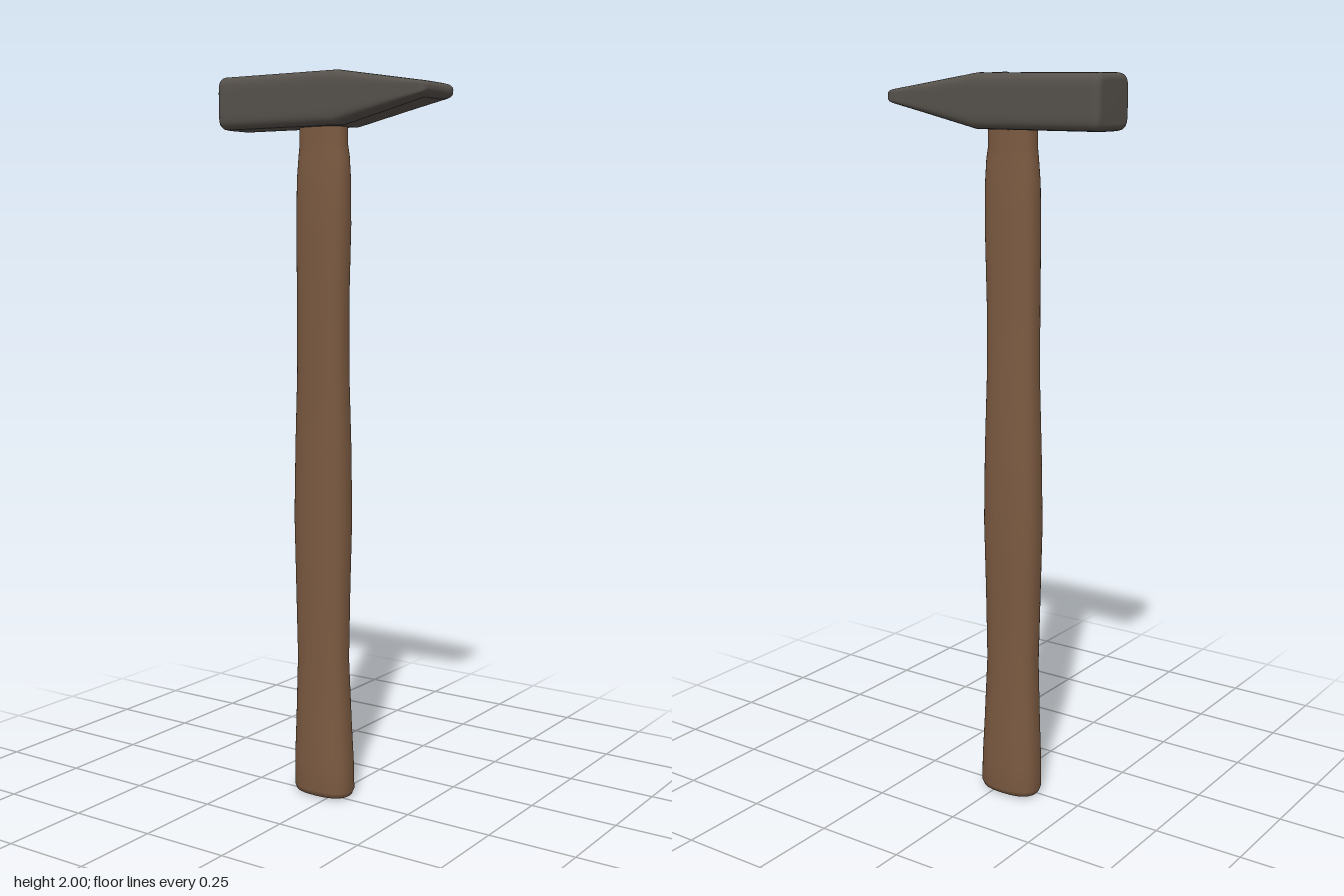
import * as THREE from 'three';

// Skin a list of closed rings with a smooth surface
function loft(rings) {
  const n = rings[0].length, pos = [], index = [];
  rings.forEach(ring => ring.forEach(p => pos.push(...p)));
  for (let i = 0; i < rings.length - 1; i++) {
    for (let j = 0; j < n; j++) {
      const k = (j + 1) % n;
      const a = i * n + j, b = i * n + k, c = a + n, d = b + n;
      index.push(a, b, c, b, d, c);
    }
  }
  const g = new THREE.BufferGeometry();
  g.setAttribute('position', new THREE.Float32BufferAttribute(pos, 3));
  g.setIndex(index);
  g.computeVertexNormals();
  return g;
}

// Unit outline between a circle (e = 2) and a square (large e)
function outline(n, e) {
  return Array.from({ length: n }, (_, j) => {
    const t = j / n * Math.PI * 2, c = Math.cos(t), s = Math.sin(t);
    const m = (Math.abs(c) ** e + Math.abs(s) ** e) ** (-1 / e);
    return [c * m, s * m];
  });
}

// Wooden shaft: y, left x, right x, back z, front z
function handleGeometry() {
  const stations = [
    [0.005, -0.035, -0.035, -0.012, -0.012],
    [0.005, -0.105, 0.035, -0.05, 0.025],
    [0.01, -0.118, 0.048, -0.063, 0.038],
    [0.025, -0.124, 0.054, -0.07, 0.044],
    [0.1, -0.124, 0.052, -0.07, 0.044],
    [0.22, -0.12, 0.045, -0.067, 0.04],
    [0.4, -0.115, 0.037, -0.062, 0.036],
    [0.6, -0.12, 0.04, -0.065, 0.038],
    [0.8, -0.125, 0.045, -0.068, 0.04],
    [1.0, -0.12, 0.043, -0.065, 0.04],
    [1.2, -0.11, 0.041, -0.055, 0.042],
    [1.4, -0.106, 0.045, -0.048, 0.047],
    [1.6, -0.105, 0.053, -0.045, 0.051],
    [1.72, -0.103, 0.053, -0.042, 0.049],
    [1.78, -0.098, 0.05, -0.038, 0.046],
    [1.81, -0.095, 0.045, -0.036, 0.044],
    [1.9, -0.095, 0.045, -0.036, 0.043],
  ];
  const shape = outline(40, 2.5);
  return loft(stations.map(([y, x0, x1, z0, z1]) => shape.map(([c, s]) =>
    [(x0 + x1) / 2 + c * (x1 - x0) / 2, y, (z0 + z1) / 2 - s * (z1 - z0) / 2])));
}

// Steel head: square poll at -x, wedge tapering towards +x, dished eye on top
function headGeometry() {
  const L = 0.33, r = 0.018, shape = outline(112, 6), xs = [];
  const arc = [0, 0.04, 0.15, 0.35, 0.65];
  arc.forEach(f => xs.push(-L + f * r));
  for (let i = 0; i <= 90; i++) xs.push(-L + r + i / 90 * (2 * L - 2 * r));
  [...arc].reverse().forEach(f => xs.push(L - f * r));

  const ring = x => {
    const d = Math.min(L - Math.abs(x), r);
    const inset = r - Math.sqrt(r * r - (r - d) ** 2);
    const t = Math.max(0, (x - 0.05) / (L - 0.05));
    const top = THREE.MathUtils.lerp(1.998, 1.953, t);
    const bottom = THREE.MathUtils.lerp(1.855, 1.921, t);
    const hy = Math.max(0.002, (top - bottom) / 2 - inset * (x > 0 ? 0.7 : 1));
    const hz = 0.078 - inset;
    return shape.map(([c, s]) => {
      const z = s * hz;
      let y = (top + bottom) / 2 + c * hy;
      if (c > 0.8) {
        const q = Math.hypot((x + 0.022) / 0.082, (z + 0.005) / 0.047);
        y -= 0.011 * (1 - THREE.MathUtils.smoothstep(q, 0.65, 1));
      }
      return [x, y, z];
    });
  };
  const rings = xs.map(ring);
  // Close both flat ends
  const close = (x, y) => shape.map(() => [x, y, 0]);
  return loft([close(-L, 1.9265), ...rings, close(L, 1.937)]);
}

export function createModel() {
  const wood = new THREE.MeshStandardMaterial({ color: 0x7b5a41 });
  wood.name = 'brown wood';
  const steel = new THREE.MeshStandardMaterial({ color: 0x56514b });
  steel.name = 'dark steel';

  const model = new THREE.Group();
  model.name = 'hammer';
  const add = (name, geometry, material) => {
    const mesh = new THREE.Mesh(geometry, material);
    mesh.name = name;
    model.add(mesh);
    return mesh;
  };

  add('handle', handleGeometry(), wood);
  add('head', headGeometry(), steel);

  // Small wedge pin inside the eye
  const pin = add('wedgePin', new THREE.SphereGeometry(0.019, 24, 16), steel);
  pin.position.set(-0.018, 1.981, -0.022);
  return model;
}
